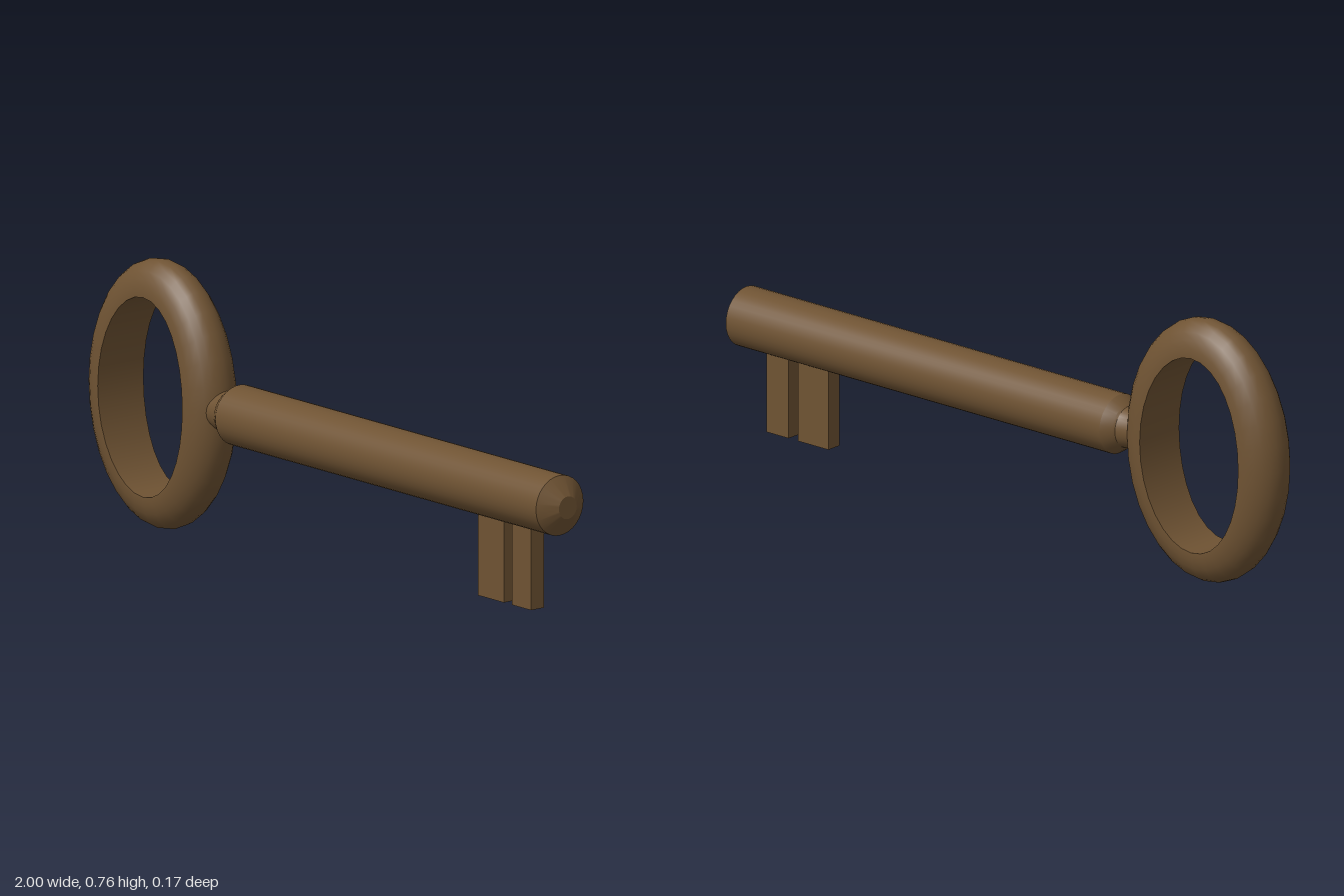
import * as THREE from 'three';
import { ParametricGeometry } from 'three/addons/geometries/ParametricGeometry.js';
import { toCreasedNormals } from 'three/addons/utils/BufferGeometryUtils.js';

const AXIS_Y = 0.38;

export function createModel() {
  const group = new THREE.Group();
  const brass = new THREE.MeshStandardMaterial({ color: 0x6f5333 });

  const add = (name, geometry, x, y, parent = group) => {
    const mesh = new THREE.Mesh(geometry, brass);
    mesh.name = name;
    mesh.position.set(x, y, 0);
    parent.add(mesh);
    return mesh;
  };

  // Oval bow: flat inner wall, half-elliptical outer section
  const halfWidth = (a) => 0.077 + 0.005 * Math.cos(2 * a);
  const ringPoint = (a, out, z, target) =>
    target.set(Math.cos(a) * (0.18 + 0.095 * out), Math.sin(a) * (0.282 + 0.098 * out), z);

  const outerWall = (u, v, target) => {
    const a = u * Math.PI * 2;
    const t = (v - 0.5) * Math.PI;
    ringPoint(a, Math.cos(t), halfWidth(a) * Math.sin(t), target);
  };
  const innerWall = (u, v, target) => {
    const a = u * Math.PI * 2;
    ringPoint(a, 0, halfWidth(a) * (1 - 2 * v), target);
  };
  const bow = new THREE.Group();
  bow.name = 'bow';
  bow.position.set(-0.725, AXIS_Y, 0);
  group.add(bow);
  add('bowOuter', new ParametricGeometry(outerWall, 32, 12), 0, 0, bow);
  add('bowInner', new ParametricGeometry(innerWall, 32, 1), 0, 0, bow);

  // Neck, collar, shaft and chamfered tip turned as one piece: [radius, x]
  const profile = [
    [0, -0.52], [0.055, -0.52], [0.055, -0.465], [0.06, -0.435],
    [0.065, -0.43], [0.085, -0.4], [0.085, 0.965], [0.032, 1], [0, 1],
  ].map(([r, x]) => new THREE.Vector2(r, x));
  const shaft = new THREE.LatheGeometry(profile, 32);
  shaft.rotateZ(-Math.PI / 2);
  add('shaft', toCreasedNormals(shaft, Math.PI / 7), 0, AXIS_Y);

  // Two teeth under the tip: [left x, right x]
  for (const [x0, x1] of [[0.645, 0.755], [0.79, 0.87]]) {
    add('tooth', new THREE.BoxGeometry(x1 - x0, 0.27, 0.046), (x0 + x1) / 2, 0.205);
  }

  return group;
}
